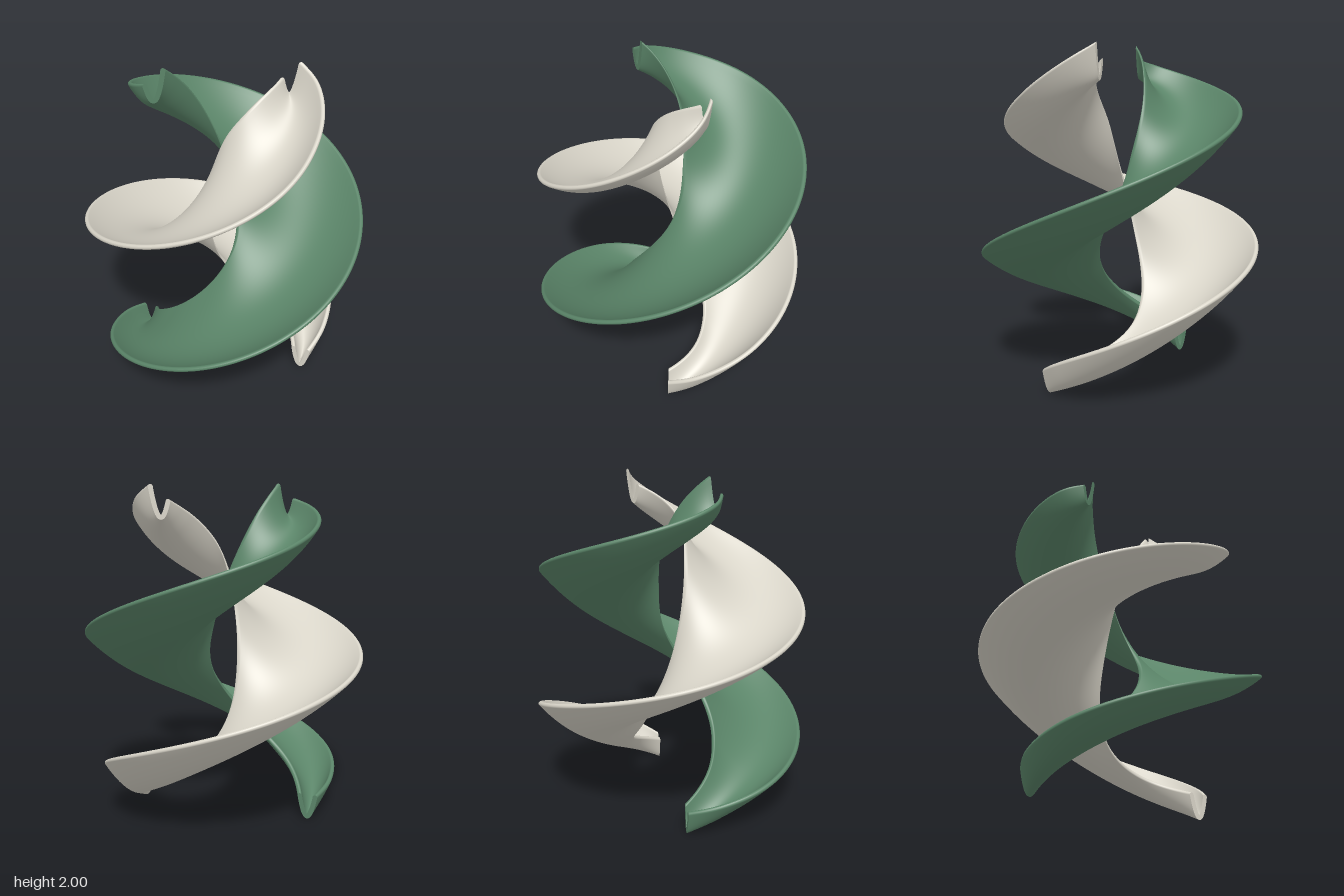
import * as THREE from 'three';

const TURN = 390;          // degrees swept by each blade
const STEPS = 180;         // rings along a blade
const ACROSS = 28;         // divisions across a blade
const CAP = 5;             // divisions round each lip
const HALF = 0.014;        // half the sheet thickness

// radius of the outer and inner lips against sweep angle
const OUTER = [[0, 0.59], [16, 0.66], [45, 0.745], [90, 0.797], [135, 0.82], [180, 0.824], [225, 0.8],
  [270, 0.757], [315, 0.685], [345, 0.61], [365, 0.555], [379, 0.5], [390, 0.425]];
const INNER = [[0, 0.495], [20, 0.42], [49, 0.3], [90, 0.19], [150, 0.118], [210, 0.092], [270, 0.09],
  [302, 0.11], [340, 0.16], [363, 0.21], [378, 0.265], [390, 0.325]];

// smooth interpolation through [angle, value] pairs
function sample(table, a) {
  let i = 0;
  while (i < table.length - 2 && a > table[i + 1][0]) i++;
  const slope = (k) => {
    const p = table[Math.max(0, k - 1)], q = table[Math.min(table.length - 1, k + 1)];
    return (q[1] - p[1]) / (q[0] - p[0]);
  };
  const [a0, v0] = table[i], [a1, v1] = table[i + 1];
  const h = a1 - a0, t = (a - a0) / h, t2 = t * t, t3 = t2 * t;
  return v0 * (2 * t3 - 3 * t2 + 1) + h * slope(i) * (t3 - 2 * t2 + t)
    + v1 * (3 * t2 - 2 * t3) + h * slope(i + 1) * (t3 - t2);
}

// closed cupped cross-section as [radius, height] points: top side, outer lip, underside, inner lip
function section(deg, lean) {
  const ri = sample(INNER, deg), ro = sample(OUTER, deg);
  const mid = (ri + ro) / 2, w = (ro - ri) / 2;
  const depth = 0.13 + 0.035 * Math.sin(Math.PI * deg / TURN);
  const edgeY = 0.145 + 1.8 * deg / TURN;
  const at = (u, angle) => {
    const dy = 2 * depth * u + lean;
    const len = Math.hypot(w, dy);
    const tr = w / len, ty = dy / len;             // tangent across the blade
    const c = Math.cos(angle) * HALF, s = Math.sin(angle) * HALF;
    return [mid + w * u + tr * c - ty * s, edgeY + depth * (u * u - 1) + lean * u + ty * c + tr * s];
  };
  const pts = [];
  for (let k = 0; k <= CAP; k++) pts.push(at(-1, Math.PI - k / CAP * Math.PI / 2));
  for (let k = 1; k < ACROSS; k++) pts.push(at(-1 + 2 * k / ACROSS, Math.PI / 2));
  for (let k = 0; k <= CAP; k++) pts.push(at(1, Math.PI / 2 - k / CAP * Math.PI / 2));
  for (let k = 0; k <= CAP; k++) pts.push(at(1, -k / CAP * Math.PI / 2));
  for (let k = ACROSS - 1; k > 0; k--) pts.push(at(-1 + 2 * k / ACROSS, -Math.PI / 2));
  for (let k = 0; k <= CAP; k++) pts.push(at(-1, -Math.PI / 2 - k / CAP * Math.PI / 2));
  return pts;
}

function bladeGeometry(startAngle) {
  const pos = [], index = [];
  let n = 0;
  const ring = (i) => {
    const deg = TURN * i / STEPS;
    const phi = startAngle + THREE.MathUtils.degToRad(deg);
    const pts = section(deg, 0.085 * Math.sin(phi));
    n = pts.length;
    for (const [r, y] of pts) pos.push(r * Math.cos(phi), y, -r * Math.sin(phi));
  };

  // swept skin
  for (let i = 0; i <= STEPS; i++) ring(i);
  for (let i = 0; i < STEPS; i++) {
    for (let j = 0; j < n; j++) {
      const k = (j + 1) % n;
      const a = i * n + j, b = i * n + k, c = a + n, d = b + n;
      index.push(a, b, c, b, d, c);
    }
  }

  // flat ends, with their own corners to stay crisp
  for (const end of [0, STEPS]) {
    const base = pos.length / 3;
    ring(end);
    for (let j = 0; j < n / 2 - 1; j++) {
      const a = base + j, b = a + 1, c = base + n - 2 - j, d = c + 1;
      if (end === 0) index.push(a, d, c, a, c, b);
      else index.push(a, c, d, a, b, c);
    }
  }

  const geo = new THREE.BufferGeometry();
  geo.setAttribute('position', new THREE.Float32BufferAttribute(pos, 3));
  geo.setIndex(index);
  geo.computeVertexNormals();
  return geo;
}

export function createModel() {
  const cream = new THREE.MeshStandardMaterial({ color: 0xd8d4c8 });
  cream.name = 'cream';
  const green = new THREE.MeshStandardMaterial({ color: 0x5a8468 });
  green.name = 'green';

  const group = new THREE.Group();
  group.name = 'twinHelixRotor';
  // two interleaved blades, half a turn apart
  [['creamBlade', cream, 0], ['greenBlade', green, Math.PI]].forEach(([name, material, start]) => {
    const blade = new THREE.Mesh(bladeGeometry(start), material);
    blade.name = name;
    group.add(blade);
  });
  return group;
}
